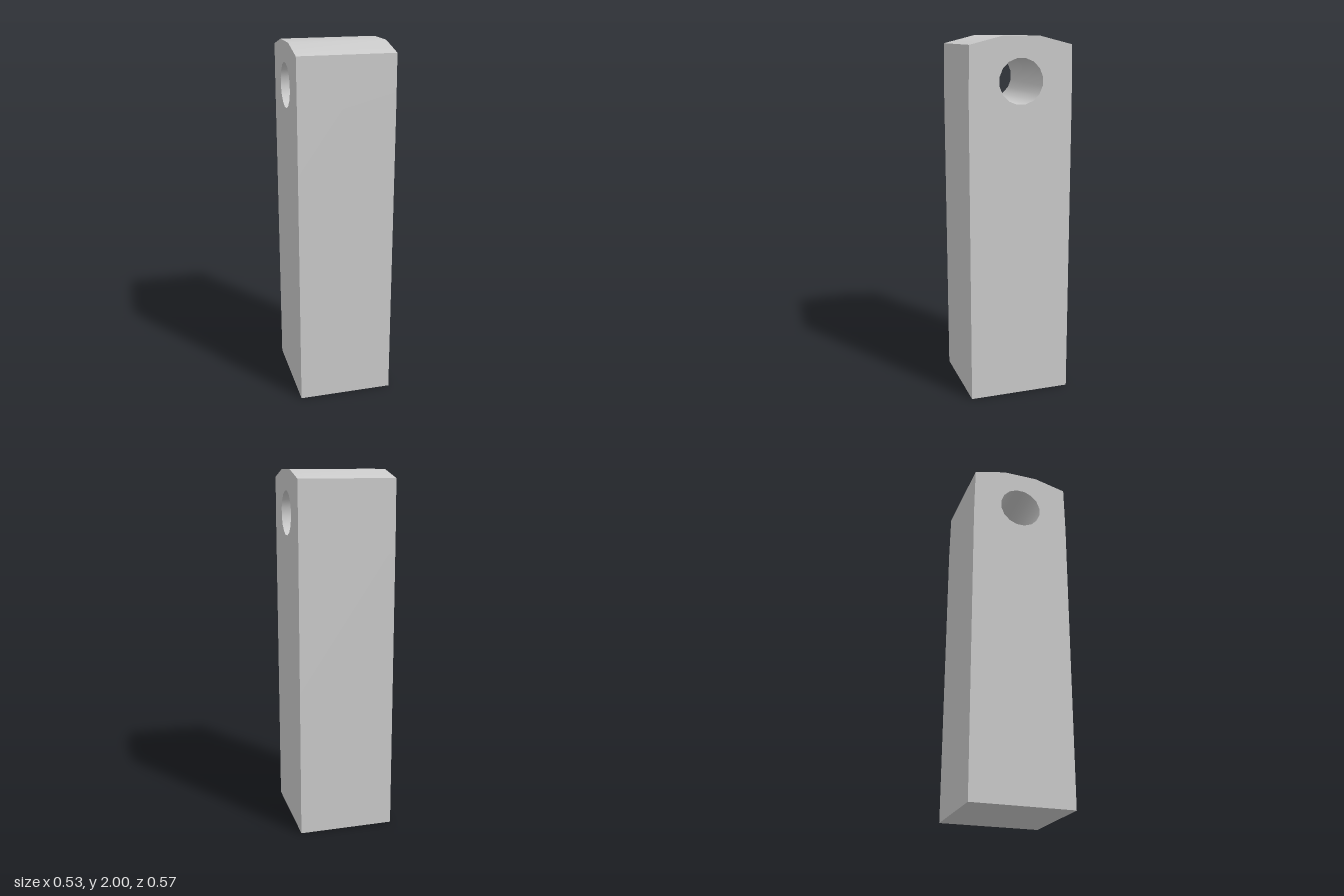
import * as THREE from 'three';
import { toCreasedNormals } from 'three/addons/utils/BufferGeometryUtils.js';

const WIDTH = 0.53;

export function createModel() {
  const group = new THREE.Group();
  group.name = 'piercedBlock';

  // Side outline: upright walls, slightly drawn in near the top, with a faceted crown
  const half = [[0.286, 0], [0.286, 1.68], [0.281, 1.955], [0.1, 2]];
  const outline = [
    ...half.map(([x, y]) => new THREE.Vector2(x, y)),
    ...half.map(([x, y]) => new THREE.Vector2(-x, y)).reverse(),
  ];
  const shape = new THREE.Shape(outline);

  // Round through-hole
  const hole = [];
  const sides = 16;
  for (let i = 0; i < sides; i++) {
    const a = -((i + 0.5) / sides) * Math.PI * 2;
    hole.push(new THREE.Vector2(Math.cos(a) * 0.122, 1.767 + Math.sin(a) * 0.122));
  }
  shape.holes.push(new THREE.Path(hole));

  // Extrude across the width; crown and hole shade smoothly, corners stay sharp
  const geometry = new THREE.ExtrudeGeometry(shape, { depth: WIDTH, bevelEnabled: false });
  geometry.translate(0, 0, -WIDTH / 2);
  geometry.rotateY(Math.PI / 2);

  const block = new THREE.Mesh(
    toCreasedNormals(geometry, 0.6),
    new THREE.MeshStandardMaterial({ color: 0xcccccc })
  );
  block.name = 'block';
  group.add(block);
  return group;
}
